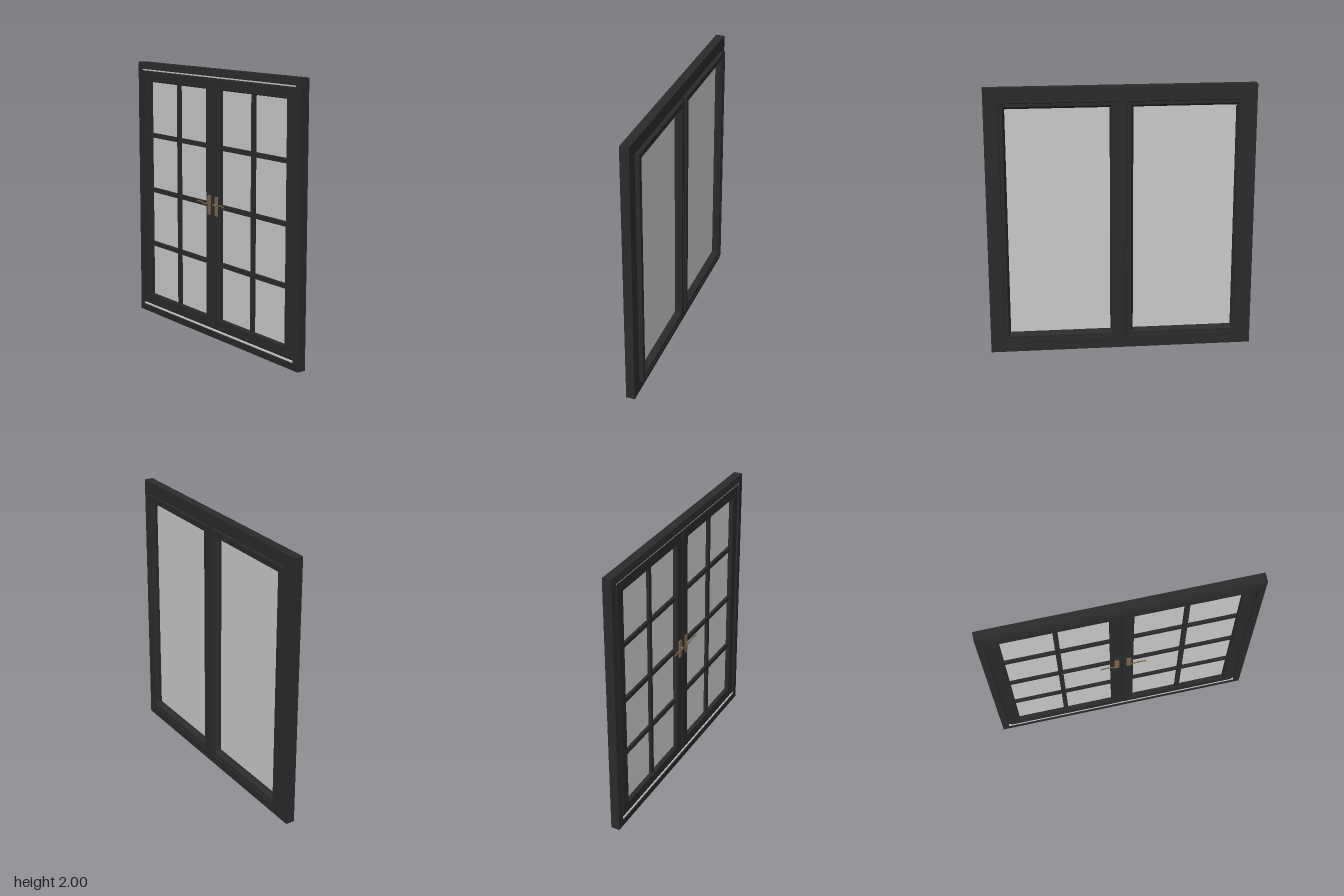
import * as THREE from 'three';

const dark = new THREE.MeshStandardMaterial({ color: 0x2b2b2b, flatShading: true });
const glassMat = new THREE.MeshStandardMaterial({ color: 0xcccccc });
const bronze = new THREE.MeshStandardMaterial({ color: 0x7a6549 });

// Mitred rectangular ring: profile of [inset, z] points, outer back -> outer front -> inner front -> inner back
function ringGeometry(x0, x1, y0, y1, profile) {
  const pos = [], idx = [], n = profile.length;
  for (const [d, z] of profile) {
    pos.push(x0 + d, y0 + d, z, x1 - d, y0 + d, z, x1 - d, y1 - d, z, x0 + d, y1 - d, z);
  }
  for (let i = 0; i < n; i++) {
    const k = (i + 1) % n;
    for (let j = 0; j < 4; j++) {
      const m = (j + 1) % 4;
      const a = i * 4 + j, b = i * 4 + m, c = k * 4 + m, d = k * 4 + j;
      idx.push(a, b, c, a, c, d);
    }
  }
  const g = new THREE.BufferGeometry();
  g.setAttribute('position', new THREE.Float32BufferAttribute(pos, 3));
  g.setIndex(idx);
  const flat = g.toNonIndexed();
  flat.computeVertexNormals();
  return flat;
}

function add(parent, name, geometry, material, x = 0, y = 0, z = 0) {
  const mesh = new THREE.Mesh(geometry, material);
  mesh.name = name;
  mesh.position.set(x, y, z);
  parent.add(mesh);
  return mesh;
}

// Handle with rounded back plate, spindle and wavy lever; dir is the side the lever points to
function makeHandle(dir) {
  const handle = new THREE.Group();
  const w = 0.018, h = 0.073, c = 0.012;
  const s = new THREE.Shape();
  s.moveTo(-w + c, -h);
  s.lineTo(w - c, -h);
  s.quadraticCurveTo(w, -h, w, -h + c);
  s.lineTo(w, h - c);
  s.quadraticCurveTo(w, h, w - c, h);
  s.lineTo(-w + c, h);
  s.quadraticCurveTo(-w, h, -w, h - c);
  s.lineTo(-w, -h + c);
  s.quadraticCurveTo(-w, -h, -w + c, -h);
  add(handle, 'handlePlate', new THREE.ExtrudeGeometry(s, {
    depth: 0.007, bevelEnabled: true, bevelSize: 0.002, bevelThickness: 0.002, bevelOffset: -0.002, bevelSegments: 2,
  }), bronze, 0, 1.003, 0.033);
  const spindle = new THREE.CylinderGeometry(0.008, 0.008, 0.026, 16).rotateX(Math.PI / 2);
  add(handle, 'handleSpindle', spindle, bronze, 0, 1.018, 0.052);
  const path = new THREE.CatmullRomCurve3([
    [0, 1.015], [0.03, 1.013], [0.06, 1.021], [0.09, 1.024], [0.122, 1.015],
  ].map(([x, y]) => new THREE.Vector3(x * dir, y, 0.06)));
  add(handle, 'handleLever', new THREE.TubeGeometry(path, 24, 0.0048, 8), bronze);
  for (const p of [path.getPoint(0), path.getPoint(1)]) {
    add(handle, 'leverEnd', new THREE.SphereGeometry(0.0048, 10, 8), bronze, p.x, p.y, p.z);
  }
  return handle;
}

// One sash with glass, glazing bars and a rear flange; side is -1 or +1
function makeSash(side) {
  const sash = new THREE.Group();
  const span = (a, b) => (side > 0 ? [a, b] : [-b, -a]);
  // front part of the sash
  const [fx0, fx1] = span(0.003, 0.911);
  add(sash, 'sashFrame', ringGeometry(fx0, fx1, 0.071, 1.934, [
    [0, -0.03], [0, 0.03], [0.004, 0.034], [0.077, 0.034], [0.081, 0.03], [0.081, -0.03],
  ]), dark);
  // rear flange, with a lip at the very back and a sloped glazing bead
  const [bx0, bx1] = span(0.02, 0.893);
  add(sash, 'rearFlange', ringGeometry(bx0, bx1, 0.088, 1.916, [
    [0, -0.065], [0, -0.058], [0.006, -0.056], [0.006, -0.028],
    [0.064, -0.01], [0.064, -0.03], [0.05, -0.055], [0.046, -0.06], [0.022, -0.06], [0.018, -0.065],
  ]), dark);
  const [gx0, gx1] = span(0.083, 0.831);
  const gw = gx1 - gx0, gx = (gx0 + gx1) / 2, gy = 1.003, gh = 1.706;
  add(sash, 'glass', new THREE.BoxGeometry(gw, gh, 0.012), glassMat, gx, gy, -0.004);
  // glazing bars on the front of the glass
  add(sash, 'verticalBar', new THREE.BoxGeometry(0.034, gh, 0.022), dark, side * 0.453, gy, 0.012);
  for (const y of [0.57, 1.003, 1.436]) {
    add(sash, 'horizontalBar', new THREE.BoxGeometry(gw, 0.034, 0.021), dark, gx, y, 0.0115);
  }
  return sash;
}

export function createModel() {
  const model = new THREE.Group();
  model.name = 'doubleWindow';

  // outer frame, slightly stepped at the front and rebated for the sashes
  add(model, 'outerFrame', ringGeometry(-0.98, 0.98, 0, 2, [
    [0, -0.03], [0, 0.036], [0.006, 0.036], [0.048, 0.04], [0.052, 0.04],
    [0.052, 0.022], [0.064, 0.022], [0.064, 0.005], [0.095, 0.005], [0.095, -0.03],
  ]), dark);
  // seal strips above and below the sashes
  for (const y of [0.058, 1.943]) {
    add(model, 'sealStrip', new THREE.BoxGeometry(1.856, 0.011, 0.012), glassMat, 0, y, 0.029);
  }
  // centre post behind the meeting stiles
  add(model, 'centrePost', new THREE.BoxGeometry(0.07, 1.82, 0.05), dark, 0, 1, -0.005);

  for (const side of [-1, 1]) {
    const sash = makeSash(side);
    sash.name = side > 0 ? 'leftSash' : 'rightSash';
    model.add(sash);
    const handle = makeHandle(side);
    handle.name = side > 0 ? 'leftHandle' : 'rightHandle';
    handle.position.x = side > 0 ? 0.05 : -0.04;
    model.add(handle);
  }
  return model;
}
